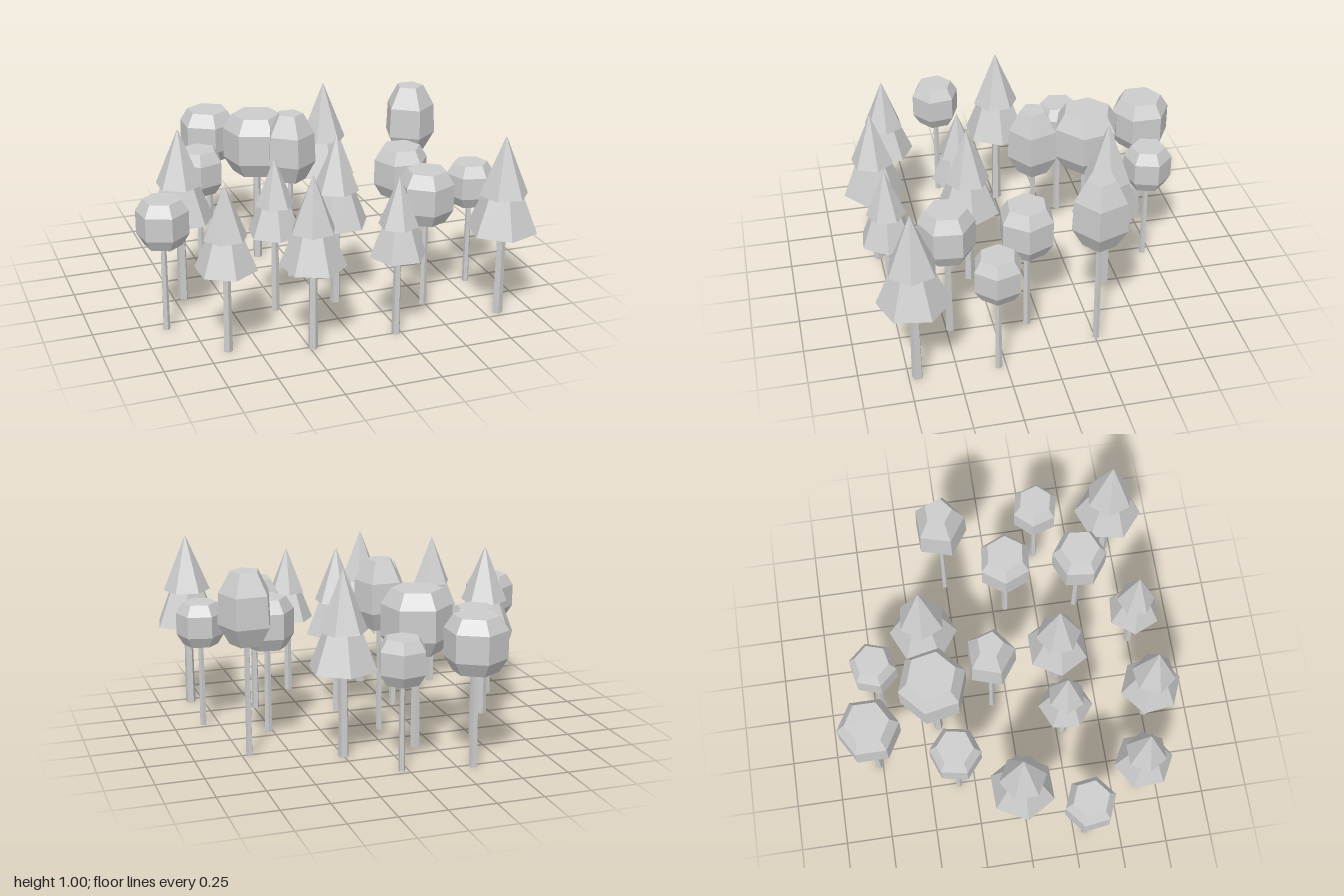
import * as THREE from 'three';

const grey = new THREE.MeshStandardMaterial({ color: 0xcccccc });
grey.name = 'plain grey';
grey.flatShading = true;

// Tapered prism standing between two heights
function frustum(name, rBottom, rTop, y0, y1, sides, turn = 0) {
  const geometry = new THREE.CylinderGeometry(rTop, rBottom, y1 - y0, sides);
  geometry.translate(0, (y0 + y1) / 2, 0);
  const mesh = new THREE.Mesh(geometry, grey);
  mesh.name = name;
  mesh.rotation.y = turn;
  return mesh;
}

// Closed faceted crown turned from [height fraction, radius fraction] pairs
function crown(profile, r, y0, y1, sides, turn) {
  const points = profile.map(([t, f]) => new THREE.Vector2(r * f, y0 + t * (y1 - y0)));
  const mesh = new THREE.Mesh(new THREE.LatheGeometry(points, sides), grey);
  mesh.name = 'crown';
  mesh.rotation.y = turn;
  return mesh;
}

const roundProfile = [[0, 0], [0, 0.72], [0.25, 1], [0.75, 1], [1, 0.72], [1, 0]];
const eggProfile = [[0, 0], [0, 0.6], [0.27, 1], [0.7, 0.95], [1, 0.52], [1, 0]];

// Broadleaf trees: x, z, radius, crown bottom, crown top, turn
const roundTrees = [
  [-0.33, -0.77, 0.163, 0.51, 0.80, 0],
  [0.035, -0.71, 0.129, 0.465, 0.70, -0.31],
  [-0.15, -0.41, 0.185, 0.53, 0.865, 0.2],
  [-0.505, -0.34, 0.136, 0.475, 0.72, -0.18],
  [0.52, 0.075, 0.148, 0.48, 0.755, 0.41],
  [-0.875, 0.31, 0.135, 0.475, 0.72, 0.14],
  [0.835, 0.29, 0.129, 0.465, 0.70, 0.3],
  [0.49, 0.48, 0.147, 0.485, 0.765, -0.11],
];

// Tall five-sided trees, same columns
const eggTrees = [
  [0.71, -0.255, 0.146, 0.605, 0.985, 0.03],
  [-0.06, -0.09, 0.138, 0.58, 0.955, 0],
];

// Conifers: x, z, radius, lower skirt, upper skirt, tip, turn
const conifers = [
  [0.25, -0.42, 0.185, 0.475, 0.675, 1.0, -0.1],
  [-0.70, -0.015, 0.18, 0.465, 0.66, 0.965, 0.55],
  [-0.275, 0.285, 0.146, 0.445, 0.60, 0.855, -0.11],
  [0.06, 0.295, 0.174, 0.46, 0.645, 0.945, 0.52],
  [-0.645, 0.645, 0.159, 0.45, 0.615, 0.89, 0.03],
  [-0.235, 0.76, 0.168, 0.455, 0.64, 0.93, 0.14],
  [0.22, 0.75, 0.148, 0.44, 0.60, 0.86, 0.42],
  [0.82, 0.705, 0.186, 0.475, 0.67, 0.985, -0.175],
];

export function createModel() {
  const forest = new THREE.Group();
  forest.name = 'forest';

  const addTree = (name, x, z, ...parts) => {
    const tree = new THREE.Group();
    tree.name = name;
    tree.position.set(x, 0, z);
    tree.add(...parts);
    forest.add(tree);
  };

  for (const [x, z, r, y0, y1, turn] of roundTrees) {
    addTree('roundTree', x, z,
      frustum('trunk', r * 0.14, r * 0.11, 0, y0 + 0.02, 5, turn),
      crown(roundProfile, r, y0, y1, 6, turn));
  }

  for (const [x, z, r, y0, y1, turn] of eggTrees) {
    addTree('tallTree', x, z,
      frustum('trunk', r * 0.12, r * 0.1, 0, y0 + 0.02, 5, turn),
      crown(eggProfile, r, y0, y1, 5, turn));
  }

  // Two stacked skirts, the upper one turned half a facet
  for (const [x, z, r, y0, y1, tip, turn] of conifers) {
    addTree('conifer', x, z,
      frustum('trunk', r * 0.155, r * 0.125, 0, y0 + 0.02, 5, turn),
      frustum('lowerBranches', r, r * 0.5, y0, y1 + 0.03, 6, turn),
      frustum('upperBranches', r * 0.7, 0, y1, tip, 6, turn + Math.PI / 6));
  }

  return forest;
}
